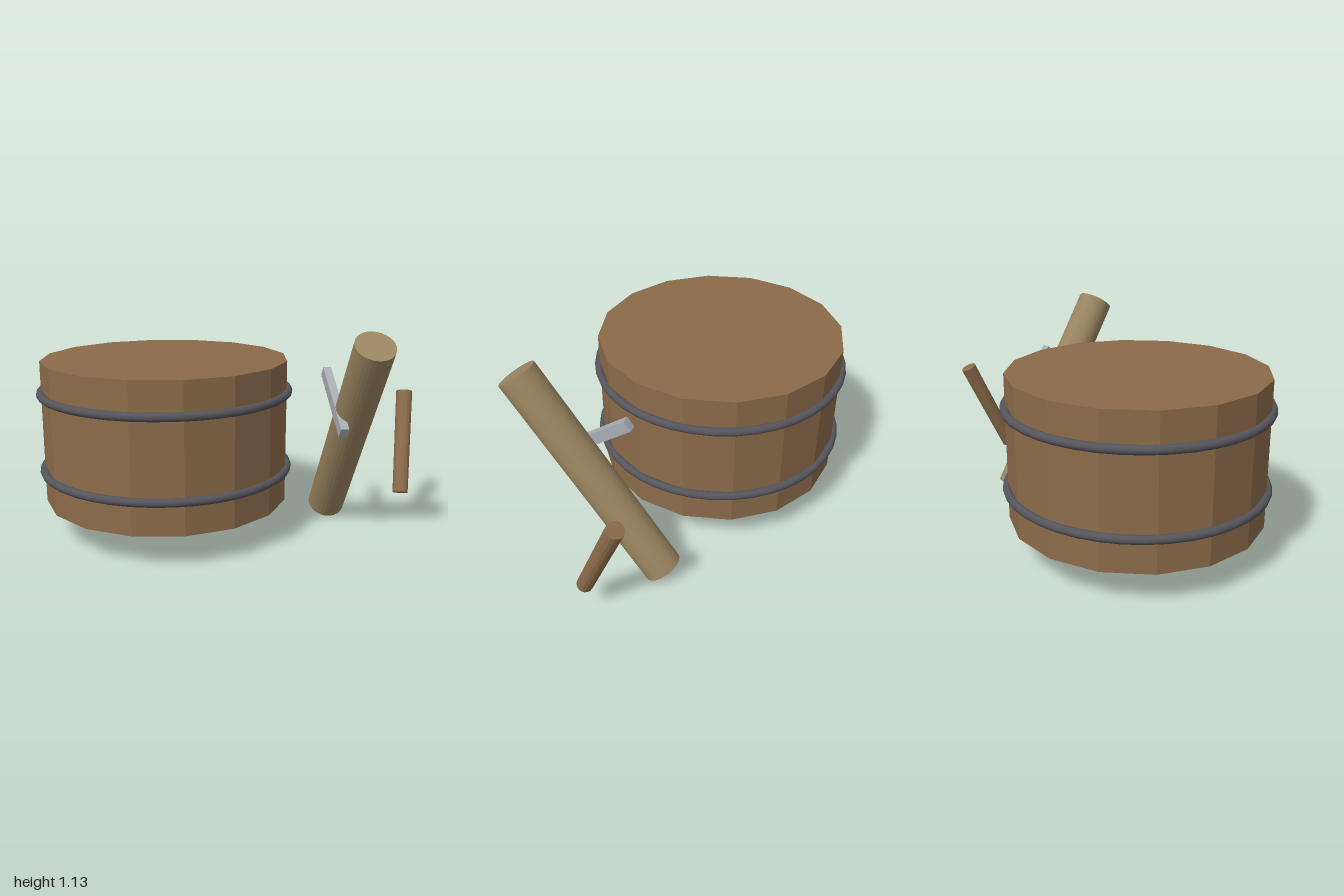
import * as THREE from 'three';

const mat = (color, flatShading = false) =>
  new THREE.MeshStandardMaterial({ color, flatShading });

function addMesh(parent, name, geometry, material) {
  const mesh = new THREE.Mesh(geometry, material);
  mesh.name = name;
  parent.add(mesh);
  return mesh;
}

// Round bar running from one end centre to the other
function addBar(parent, name, bottom, top, rBottom, rTop, sides, material) {
  const axis = top.clone().sub(bottom);
  const geometry = new THREE.CylinderGeometry(rTop, rBottom, axis.length(), sides);
  const mesh = addMesh(parent, name, geometry, material);
  mesh.position.copy(bottom).addScaledVector(axis, 0.5);
  mesh.quaternion.setFromUnitVectors(new THREE.Vector3(0, 1, 0), axis.normalize());
  return axis;
}

export function createModel() {
  const model = new THREE.Group();
  model.name = 'tubAndMallet';

  // Sixteen-sided wooden tub
  const tub = new THREE.Group();
  tub.name = 'tub';
  tub.position.set(-0.318, 0, 0);
  model.add(tub);
  const body = addMesh(tub, 'tubBody',
    new THREE.CylinderGeometry(0.655, 0.655, 0.76, 16), mat(0x8b6b4a, true));
  body.position.y = 0.555;

  // Two metal hoops
  const metal = mat(0x55555c);
  for (const [name, y] of [['lowerHoop', 0.35], ['upperHoop', 0.765]]) {
    const hoop = addMesh(tub, name, new THREE.TorusGeometry(0.66, 0.022, 10, 40), metal);
    hoop.rotation.x = Math.PI / 2;
    hoop.position.y = y;
  }

  // Leaning log
  const logAxis = addBar(model, 'log',
    new THREE.Vector3(0.542, 0.058, -0.335), new THREE.Vector3(0.782, 1.075, 0.335),
    0.1, 0.1, 32, mat(0x9a8560, true));

  // Flat metal blade set crosswise through the log
  const along = new THREE.Vector3(-0.12, 0.261, -0.341);
  along.addScaledVector(logAxis, -along.dot(logAxis)).normalize();
  const across = new THREE.Vector3().crossVectors(along, logAxis);
  const blade = addMesh(model, 'blade',
    new THREE.BoxGeometry(0.042, 0.06, 0.435), mat(0xaaaeb4));
  blade.quaternion.setFromRotationMatrix(
    new THREE.Matrix4().makeBasis(across, logAxis, across.clone().cross(logAxis)));
  blade.position.set(0.59, 0.742, 0.038);

  // Short loose stick
  addBar(model, 'stick',
    new THREE.Vector3(0.955, 0.187, -0.206), new THREE.Vector3(0.955, 0.708, -0.447),
    0.041, 0.044, 16, mat(0x8b6b4a, true));

  return model;
}
